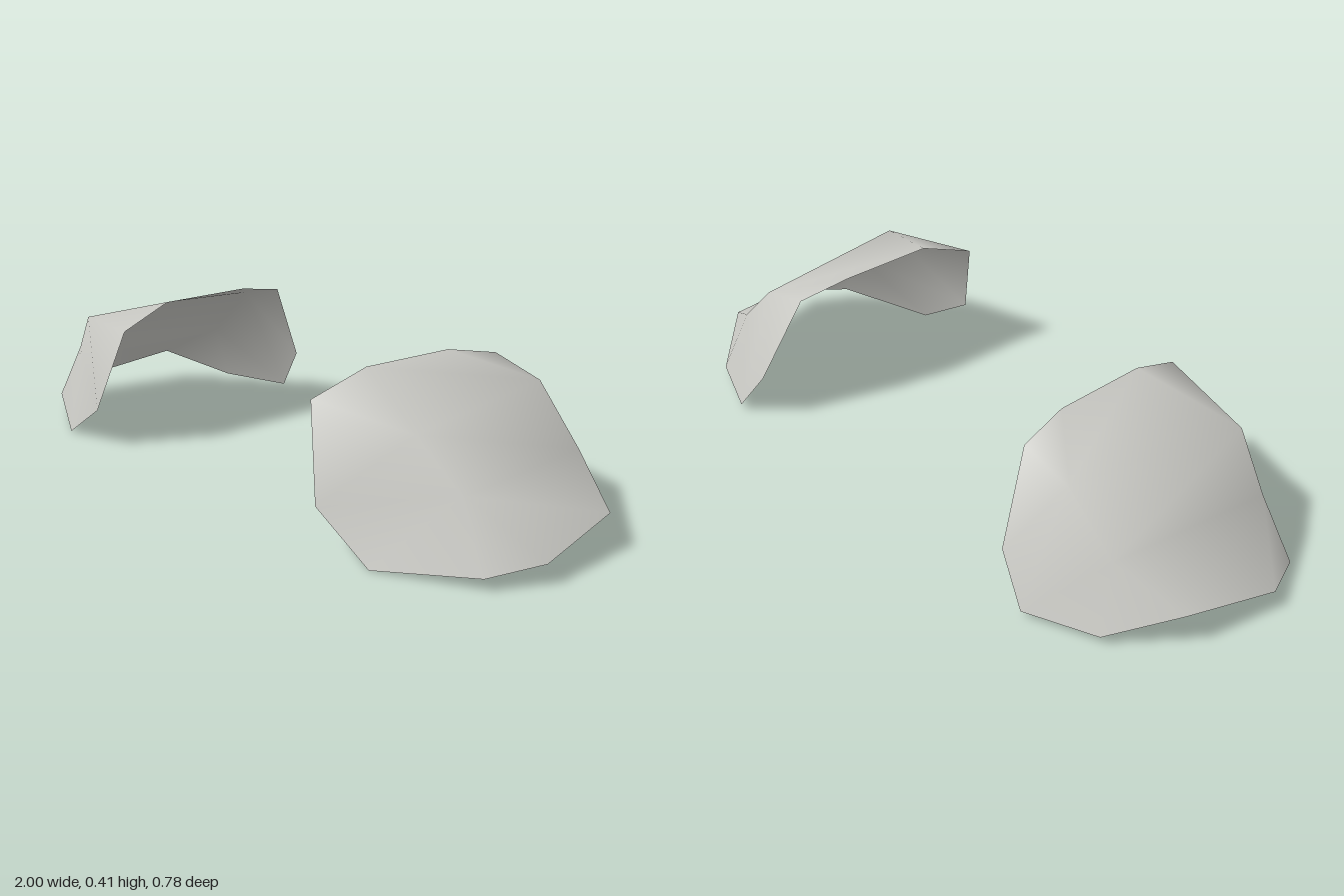
import * as THREE from 'three';

// Cross-sections of one curved shell, from the inner top edge out to the lower rim.
// Each section runs from front to back.
const SECTIONS = [
  [[0.415, 0.357, 0.337], [0.435, 0.415, 0.175], [0.44, 0.413, -0.1], [0.465, 0.384, -0.25]],
  [[0.495, 0.115, 0.388], [0.72, 0.33, 0.27], [0.625, 0.345, -0.25], [0.515, 0.15, -0.365]],
  [[0.675, 0.003, 0.372], [0.84, 0.205, 0.23], [0.775, 0.2, -0.24], [0.61, 0.022, -0.388]],
  [[0.935, 0.035, 0.25], [1.0, 0.056, 0.11], [0.95, 0.1, -0.163], [0.81, 0.026, -0.31]],
];

// Smooth sheet through the sections; side is +1 (left) or -1 (right).
function shellGeometry(side) {
  const positions = SECTIONS.flat().flatMap(([x, y, z]) => [side * x, y, z]);
  const index = [];
  const tri = (a, b, c) => index.push(...(side > 0 ? [a, b, c] : [a, c, b]));
  for (let r = 0; r < 3; r++) {
    for (let c = 0; c < 3; c++) {
      const a = r * 4 + c, b = a + 4, d = a + 5, e = a + 1;
      // Diagonals run from the corners toward the middle.
      if ((r - 1) * (c - 1) >= 0) {
        tri(a, b, d);
        tri(a, d, e);
      } else {
        tri(a, b, e);
        tri(b, d, e);
      }
    }
  }
  const geometry = new THREE.BufferGeometry();
  geometry.setAttribute('position', new THREE.Float32BufferAttribute(positions, 3));
  geometry.setIndex(index);
  geometry.computeVertexNormals();
  return geometry;
}

export function createModel() {
  const group = new THREE.Group();
  group.name = 'shoulderGuards';
  const material = new THREE.MeshStandardMaterial({ color: 0xc8c8c3, side: THREE.DoubleSide });
  material.name = 'light grey';

  // Mirrored pair of shells
  for (const side of [1, -1]) {
    const shell = new THREE.Mesh(shellGeometry(side), material);
    shell.name = side > 0 ? 'leftShoulderGuard' : 'rightShoulderGuard';
    group.add(shell);
  }
  return group;
}
